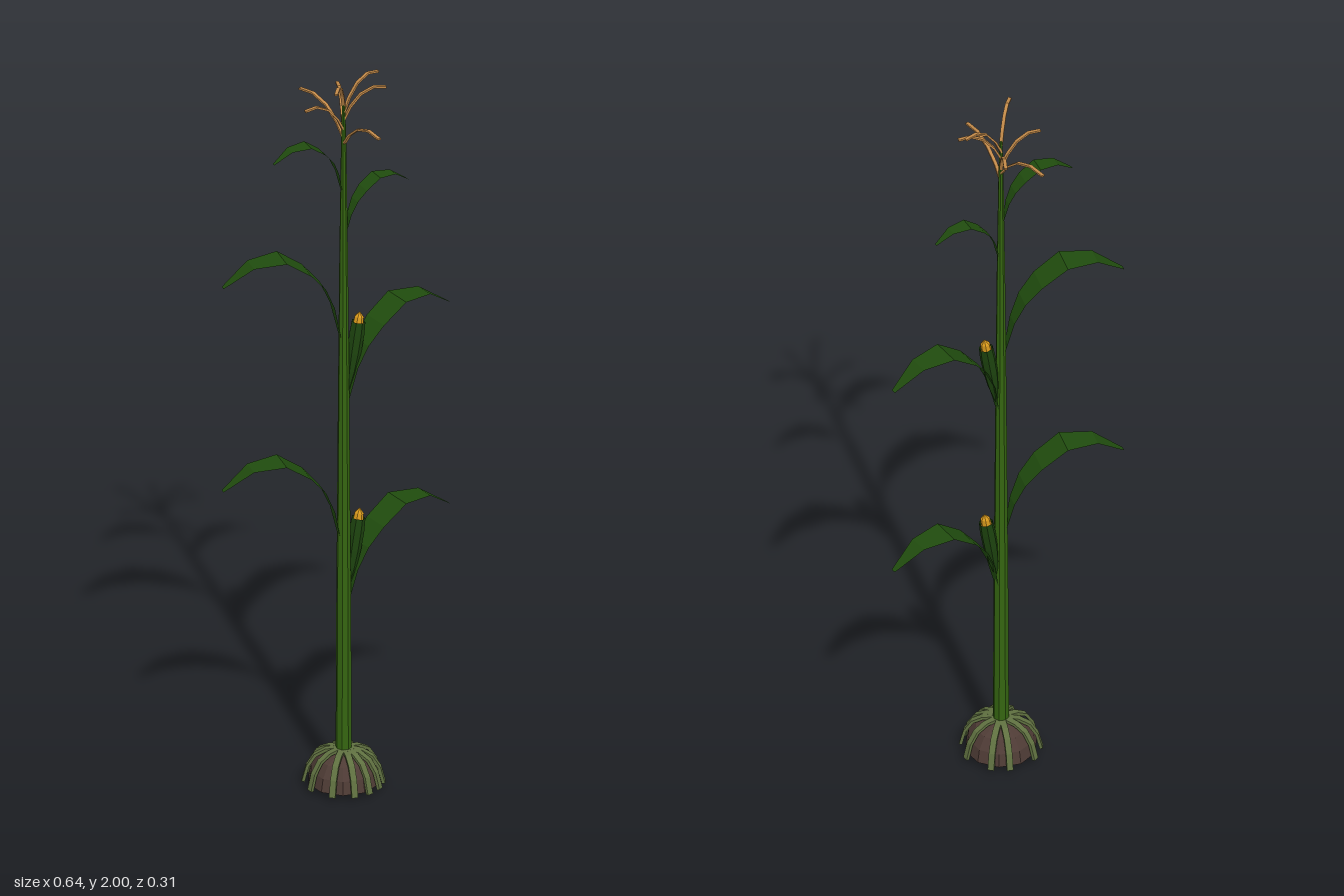
import * as THREE from 'three';

const mat = (name, color, extra = {}) => {
  const m = new THREE.MeshStandardMaterial({ color, flatShading: true, ...extra });
  m.name = name;
  return m;
};

export function createModel() {
  const plant = new THREE.Group();
  plant.name = 'cornPlant';
  const both = { side: THREE.DoubleSide };
  const stalkGreen = mat('stalkGreen', 0x346410);
  const leafGreen = mat('leafGreen', 0x204c0e, both);
  const huskGreen = mat('huskGreen', 0x1c420e, both);
  const kernelYellow = mat('kernelYellow', 0xd99a1c);
  const soilBrown = mat('soilBrown', 0x4e3b35, both);
  const rootOlive = mat('rootOlive', 0x5f7040);
  const tasselTan = mat('tasselTan', 0xc08848);
  const CX = -0.005; // stalk axis

  const add = (name, geometry, material, parent = plant) => {
    const m = new THREE.Mesh(geometry, material);
    m.name = name;
    parent.add(m);
    return m;
  };
  const lathe = (pts, sides) =>
    new THREE.LatheGeometry(pts.map(([r, y]) => new THREE.Vector2(r, y)), sides);

  // Ribbed bar of rectangular section along a path of [reach, height] points
  const bar = (path, halfW, halfT) => {
    const pos = [], idx = [];
    path.forEach(([r, y], i) => {
      const a = path[Math.max(i - 1, 0)], b = path[Math.min(i + 1, path.length - 1)];
      const len = Math.hypot(b[0] - a[0], b[1] - a[1]);
      const nx = -(b[1] - a[1]) / len * halfT, ny = (b[0] - a[0]) / len * halfT;
      pos.push(r + nx, y + ny, halfW, r + nx, y + ny, -halfW,
        r - nx, y - ny, -halfW, r - nx, y - ny, halfW);
    });
    for (let i = 0; i < path.length - 1; i++) {
      for (let k = 0; k < 4; k++) {
        const a = i * 4 + k, b = i * 4 + (k + 1) % 4;
        idx.push(a, a + 4, b, b, a + 4, b + 4);
      }
    }
    const e = (path.length - 1) * 4;
    idx.push(0, 1, 2, 0, 2, 3, e, e + 2, e + 1, e, e + 3, e + 2);
    const g = new THREE.BufferGeometry();
    g.setAttribute('position', new THREE.Float32BufferAttribute(pos, 3));
    g.setIndex(idx);
    g.computeVertexNormals();
    return g;
  };

  // Stalk, tapering towards the tassel
  add('stalk', lathe([[0, 0], [0.021, 0], [0.019, 0.5], [0.0145, 1.1],
    [0.011, 1.5], [0.007, 1.8], [0.004, 1.93], [0, 1.935]], 8), stalkGreen).position.x = CX;

  // Soil mound, open underneath
  add('soilMound', lathe([[0.093, 0.015], [0.086, 0.05], [0.066, 0.08], [0.02, 0.1]], 10),
    soilBrown).position.x = CX;

  // Brace roots arching over the mound
  const rootPath = [[0.015, 0.104], [0.045, 0.1], [0.072, 0.085], [0.091, 0.055], [0.102, 0.012]];
  for (const deg of [2, 41, 62, 85, 109, 141, 180, 215, 245, 290, 317]) {
    const root = add('braceRoot', bar(rootPath, 0.008, 0.004), rootOlive);
    root.position.x = CX;
    root.rotation.y = -deg * Math.PI / 180;
  }

  // Leaves: [reach, height, half width] along an arching blade
  const blade = [[0.008, 0, 0.007], [0.03, 0.1, 0.02], [0.056, 0.16, 0.03], [0.098, 0.21, 0.038],
    [0.165, 0.257, 0.04], [0.248, 0.251, 0.027], [0.323, 0.198, 0.007]];
  const leafGeometry = () => {
    const pos = [], idx = [];
    blade.forEach(([r, y, w], i) => {
      pos.push(r, y, w, r, y, -w);
      if (i) {
        const k = i * 2;
        idx.push(k - 2, k, k - 1, k - 1, k, k + 1);
      }
    });
    const g = new THREE.BufferGeometry();
    g.setAttribute('position', new THREE.Float32BufferAttribute(pos, 3));
    g.setIndex(idx);
    g.computeVertexNormals();
    return g;
  };
  // base height, direction x, direction z, scale
  for (const [y, dx, dz, s] of [
    [0.505, 1, 0, 1], [0.685, -0.313, -0.088, 1],
    [1.075, 1, 0, 1], [1.26, -0.313, -0.088, 1],
    [1.555, 0.19, 0.02, 0.57], [1.675, -0.19, -0.035, 0.6],
  ]) {
    const leaf = add('leaf', leafGeometry(), leafGreen);
    leaf.position.set(CX, y, 0);
    leaf.rotation.y = Math.atan2(-dz, dx);
    leaf.scale.setScalar(s);
  }

  // Ears of corn tucked between stalk and leaf
  for (const y of [0.56, 1.115]) {
    const ear = new THREE.Group();
    ear.name = 'cornEar';
    ear.position.set(0.009, y, 0);
    ear.rotation.z = -0.17;
    plant.add(ear);
    add('husk', lathe([[0.004, 0], [0.014, 0.05], [0.019, 0.1], [0.02, 0.15], [0.018, 0.185]], 7),
      huskGreen, ear);
    add('kernels', lathe([[0.012, 0.1], [0.0145, 0.17], [0.012, 0.198], [0, 0.212]], 7),
      kernelYellow, ear);
  }

  // Tassel branches: start height, tip x, tip y, tip z
  for (const [y0, x, y, z] of [
    [1.81, 0, 1.89, 0.157], [1.83, -0.026, 1.912, -0.155],
    [1.85, -0.11, 1.93, -0.012], [1.84, 0.05, 1.93, -0.1],
    [1.88, 0.105, 1.958, 0.036], [1.9, 0.108, 1.985, -0.003],
    [1.92, -0.07, 1.998, 0.067],
  ]) {
    const reach = Math.hypot(x, z), rise = y - y0;
    const path = [[0, 0], [0.16, 0.45], [0.4, 0.85], [0.7, 1.05], [1, 1]]
      .map(([r, h]) => [r * reach, h * rise]);
    const branch = add('tasselBranch', bar(path, 0.0045, 0.0025), tasselTan);
    branch.position.set(CX, y0, 0);
    branch.rotation.y = Math.atan2(-z, x);
  }
  return plant;
}
